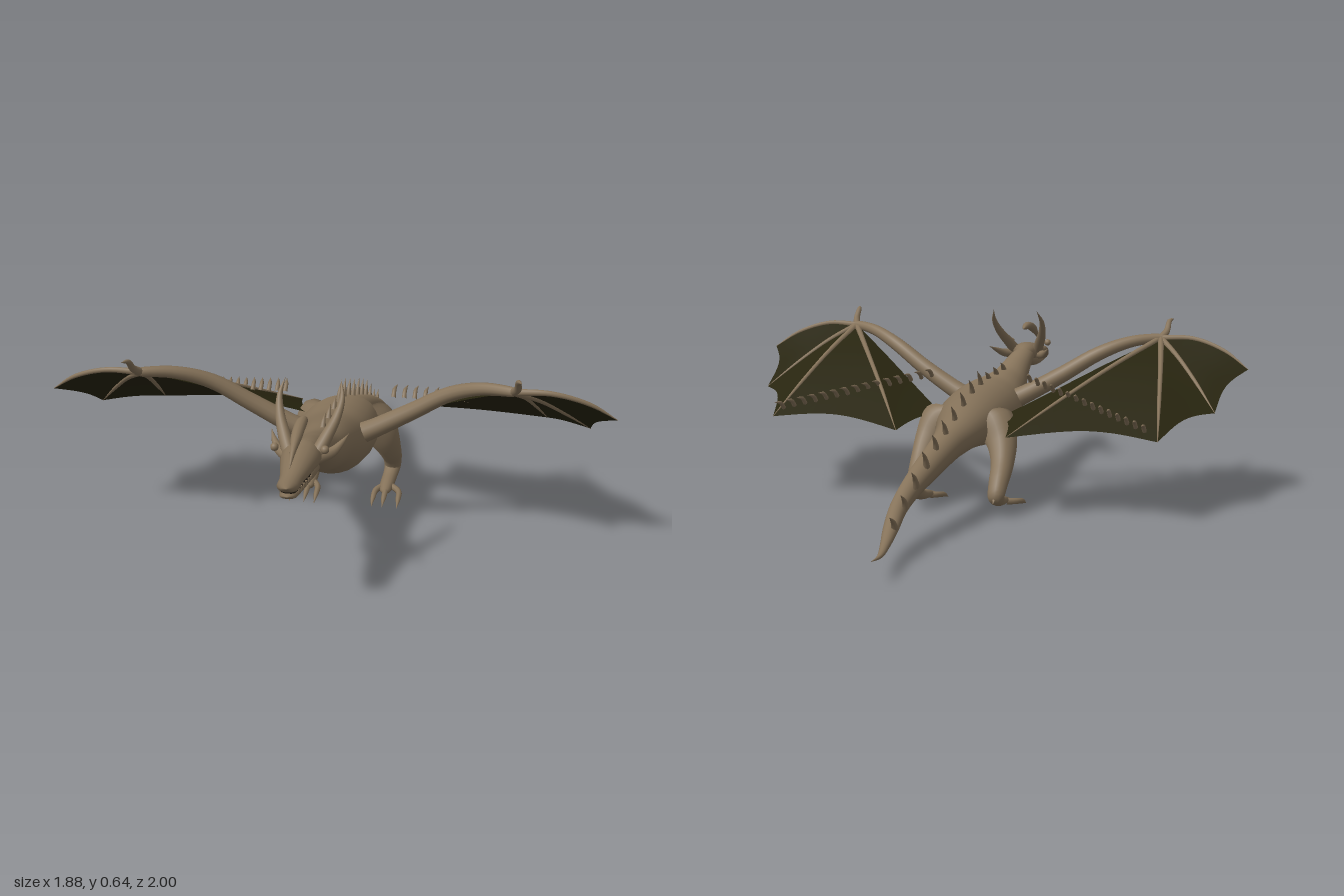
import * as THREE from 'three';

const mat = (name, color, side = THREE.FrontSide) => {
  const m = new THREE.MeshStandardMaterial({ color, side });
  m.name = name;
  return m;
};

// Smooth curve whose parameter runs evenly over its control points
function path(points) {
  const c = new THREE.CatmullRomCurve3(points.map(p => new THREE.Vector3(p[0], p[1], p[2])));
  c.getPointAt = (t, v) => c.getPoint(t, v);
  c.getTangentAt = (t, v) => c.getTangent(t, v);
  return c;
}

// Tapered tube; each station is [x, y, z, radius, optional vertical radius]
function limb(stations, segs = 16, sides = 10) {
  const curve = path(stations);
  const radii = path(stations.map(p => [p[3], p[4] ?? p[3], 0]));
  const geo = new THREE.TubeGeometry(curve, segs, 1, sides);
  const pos = geo.attributes.position, v = new THREE.Vector3();
  for (let i = 0; i < pos.count; i++) {
    const t = Math.floor(i / (sides + 1)) / segs;
    const c = curve.getPoint(t), r = radii.getPoint(t);
    const rx = Math.max(r.x, 0.0005), ry = Math.max(r.y, 0.0005);
    v.fromBufferAttribute(pos, i).sub(c);
    pos.setXYZ(i, c.x + v.x * rx, c.y + v.y * ry, c.z + v.z * ry);
  }
  return geo;
}

// Skin stretched between two finger curves, with a scalloped outer edge
function web(a, b, sag) {
  const N = 10, pos = [], idx = [], root = a.getPoint(0);
  for (let i = 0; i <= N; i++) for (let j = 0; j <= N; j++) {
    const u = i / N, v = j / N;
    const p = a.getPoint(u).lerp(b.getPoint(u), v);
    p.lerp(root, sag * Math.sin(Math.PI * v) * u);
    pos.push(p.x, p.y, p.z);
    if (i < N && j < N) {
      const k = i * (N + 1) + j;
      idx.push(k, k + N + 1, k + 1, k + 1, k + N + 1, k + N + 2);
    }
  }
  const g = new THREE.BufferGeometry();
  g.setAttribute('position', new THREE.Float32BufferAttribute(pos, 3));
  g.setIndex(idx);
  g.computeVertexNormals();
  return g;
}

export function createModel() {
  const hide = mat('hide', 0x86735a);
  const skin = mat('wing skin', 0x27240f, THREE.DoubleSide);
  const dark = mat('dark mouth', 0x2e261c);
  const root = new THREE.Group();
  root.name = 'dragon';
  const add = (name, geo, m = hide, parent = root) => {
    const mesh = new THREE.Mesh(geo, m);
    mesh.name = name;
    parent.add(mesh);
    return mesh;
  };

  // Neck, torso and tail in one sweep
  const body = [
    [0, 0.45, 0.78, 0.035, 0.03], [0, 0.445, 0.7, 0.046, 0.033], [0, 0.41, 0.6, 0.058, 0.05],
    [0, 0.37, 0.5, 0.075, 0.068], [0, 0.35, 0.4, 0.095, 0.083], [0, 0.325, 0.3, 0.122, 0.108],
    [0, 0.317, 0.2, 0.137, 0.11], [0, 0.312, 0.1, 0.135, 0.105], [0, 0.305, 0, 0.12, 0.088],
    [0, 0.29, -0.1, 0.085, 0.066], [0.006, 0.268, -0.2, 0.058, 0.058], [0.012, 0.243, -0.3, 0.048, 0.052],
    [0.02, 0.215, -0.4, 0.042, 0.046], [0.03, 0.18, -0.5, 0.034, 0.038], [0.033, 0.14, -0.6, 0.029, 0.03],
    [0.018, 0.105, -0.7, 0.026, 0.02], [-0.002, 0.08, -0.8, 0.017, 0.011],
    [-0.025, 0.075, -0.9, 0.009, 0.006], [-0.037, 0.088, -1, 0.0005],
  ];
  add('body', limb(body, 72, 24));

  // Curved spines down the back
  const spineLine = path(body);
  for (let i = 0; i < 13; i++) {
    const z = 0.44 - i * 0.097, h = i < 3 ? 0.035 : 0.058 - Math.max(0, i - 9) * 0.005;
    const t = (0.7 - z) / 0.1 + 1;
    const k = Math.min(Math.floor(t), body.length - 2), f = t - k;
    const ry = (body[k][4] ?? 0) * (1 - f) + (body[k + 1][4] ?? 0) * f;
    const y = spineLine.getPoint(t / (body.length - 1)).y + ry - 0.008;
    add('backSpine', limb([[0, y, z + 0.01, 0.011, 0.016], [0, y + h * 0.6, z - 0.006, 0.007, 0.009],
      [0, y + h * 1.1, z - 0.035, 0]], 6, 8));
  }

  // Head: skull, snout, lower jaw and mouth line
  add('skull', limb([
    [0, 0.45, 0.7, 0.02, 0.02], [0, 0.46, 0.74, 0.052, 0.034], [0, 0.457, 0.79, 0.062, 0.037],
    [0, 0.448, 0.86, 0.05, 0.028], [0, 0.44, 0.93, 0.036, 0.019], [0, 0.438, 0.98, 0.034, 0.018],
    [0, 0.438, 1, 0.018, 0.008], [0, 0.438, 1.001, 0, 0],
  ], 28, 16));
  add('lowerJaw', limb([
    [0, 0.435, 0.72, 0.02, 0.015], [0, 0.422, 0.78, 0.055, 0.024], [0, 0.412, 0.86, 0.043, 0.014],
    [0, 0.408, 0.94, 0.032, 0.01], [0, 0.408, 0.985, 0.024, 0.007], [0, 0.408, 0.99, 0, 0],
  ], 22, 14));
  add('mouth', limb([[0, 0.423, 0.8, 0.04, 0.01], [0, 0.422, 0.88, 0.04, 0.009],
    [0, 0.421, 0.94, 0.031, 0.008], [0, 0.421, 0.978, 0.022, 0.006], [0, 0.421, 0.98, 0, 0]], 12, 12), dark);

  // Arched crest over the head
  add('crest', limb([[0, 0.483, 0.955, 0.001], [0, 0.522, 0.9, 0.01, 0.012], [0, 0.55, 0.84, 0.018, 0.016],
    [0, 0.563, 0.78, 0.018, 0.015], [0, 0.56, 0.735, 0.01, 0.009], [0, 0.556, 0.72, 0, 0]], 20, 12));

  for (const s of [1, -1]) {
    const side = s > 0 ? 'left' : 'right';
    const m = pts => pts.map(([x, ...r]) => [x * s, ...r]);

    // Horns, cheek spikes, eyes and teeth
    add(side + 'Horn', limb(m([[0.04, 0.455, 0.77, 0.022], [0.064, 0.5, 0.73, 0.02], [0.088, 0.55, 0.68, 0.015],
      [0.098, 0.6, 0.635, 0.009], [0.088, 0.645, 0.597, 0]]), 16, 12));
    add(side + 'CheekSpike', limb(m([[0.04, 0.45, 0.78, 0.02], [0.082, 0.455, 0.73, 0.016],
      [0.105, 0.472, 0.69, 0.009], [0.122, 0.49, 0.65, 0]]), 12, 10));
    add(side + 'Eye', new THREE.SphereGeometry(0.013, 14, 10)).position.set(0.077 * s, 0.493, 0.81);
    for (let i = 0; i < 6; i++) {
      const tooth = add('tooth', new THREE.ConeGeometry(0.004, 0.016, 6));
      tooth.rotation.x = Math.PI;
      tooth.position.set((0.044 - i * 0.003) * s, 0.421, 0.86 + i * 0.021);
    }

    // Hind leg with spread toes and claws
    const leg = new THREE.Group();
    leg.name = side + 'Leg';
    root.add(leg);
    add('leg', limb(m([[0.07, 0.34, 0.03, 0.03], [0.105, 0.305, 0.012, 0.07, 0.078], [0.135, 0.245, -0.015, 0.053, 0.068],
      [0.15, 0.18, -0.06, 0.04, 0.05], [0.152, 0.12, -0.115, 0.034, 0.032], [0.15, 0.08, -0.132, 0.03, 0.024],
      [0.146, 0.058, -0.1, 0.027, 0.02], [0.143, 0.045, -0.04, 0.026, 0.016],
      [0.142, 0.035, 0, 0.02, 0.012], [0.142, 0.03, 0.02, 0, 0]]), 40, 14), hide, leg);
    for (const dx of [-0.035, 0, 0.048]) {
      const x = 0.143 + dx;
      add('toe', limb(m([[0.143 + dx * 0.3, 0.04, -0.04, 0.012], [x, 0.035, 0.0, 0.011],
        [x + dx * 0.1, 0.024, 0.045, 0.009], [x + dx * 0.1, 0.006, 0.09, 0]]), 12, 8), hide, leg);
    }
    add('backClaw', limb(m([[0.148, 0.085, -0.12, 0.014], [0.148, 0.075, -0.145, 0.009],
      [0.148, 0.06, -0.162, 0]]), 8, 8), hide, leg);

    // Wing: arm, thumb claw, fingers and skin
    const wing = new THREE.Group();
    wing.name = side + 'Wing';
    root.add(wing);
    const wrist = [0.61, 0.583, 0.44];
    add('wingArm', limb(m([[0.06, 0.335, 0.27, 0.04], [0.14, 0.375, 0.28, 0.034], [0.27, 0.45, 0.3, 0.03],
      [0.4, 0.53, 0.335, 0.026], [0.51, 0.572, 0.39, 0.021], [...wrist, 0.016],
      [0.63, 0.582, 0.445, 0]]), 32, 12), hide, wing);
    add('thumbClaw', limb(m([[...wrist, 0.014], [0.625, 0.605, 0.475, 0.012], [0.628, 0.638, 0.51, 0.009],
      [0.64, 0.645, 0.545, 0]]), 12, 10), hide, wing);
    const fingers = [
      [wrist, [0.73, 0.585, 0.443], [0.85, 0.548, 0.417], [0.94, 0.49, 0.385]],
      [wrist, [0.69, 0.53, 0.345], [0.775, 0.455, 0.245], [0.86, 0.37, 0.14]],
      [wrist, [0.645, 0.505, 0.255], [0.678, 0.41, 0.065], [0.71, 0.31, -0.12]],
      [wrist, [0.475, 0.502, 0.23], [0.335, 0.405, 0.02], [0.2, 0.305, -0.19]],
      [wrist, [0.45, 0.505, 0.31], [0.28, 0.415, 0.175], [0.115, 0.33, 0.04]],
    ].map(m);
    for (let i = 0; i < 4; i++) {
      const r = [0.012, 0.009, 0.007, 0.001];
      add('wingFinger', limb(fingers[i].map((p, k) => [...p, r[k]]), 18, 8), hide, wing);
      add('wingSkin', web(path(fingers[i]), path(fingers[i + 1]), i < 3 ? 0.08 : 0.03), skin, wing);
    }

    // Row of small spikes across the wing
    for (let i = 0; i < 15; i++) {
      const t = i / 14, x = 0.19 + t * 0.475, y = 0.445 - t * 0.1, z = 0.155 - t * 0.275;
      add('wingSpike', limb(m([[x, y, z, 0.008], [x, y + 0.022, z - 0.025, 0.007],
        [x + 0.006, y + 0.03, z - 0.062, 0]]), 6, 7), hide, wing);
    }
  }
  return root;
}
